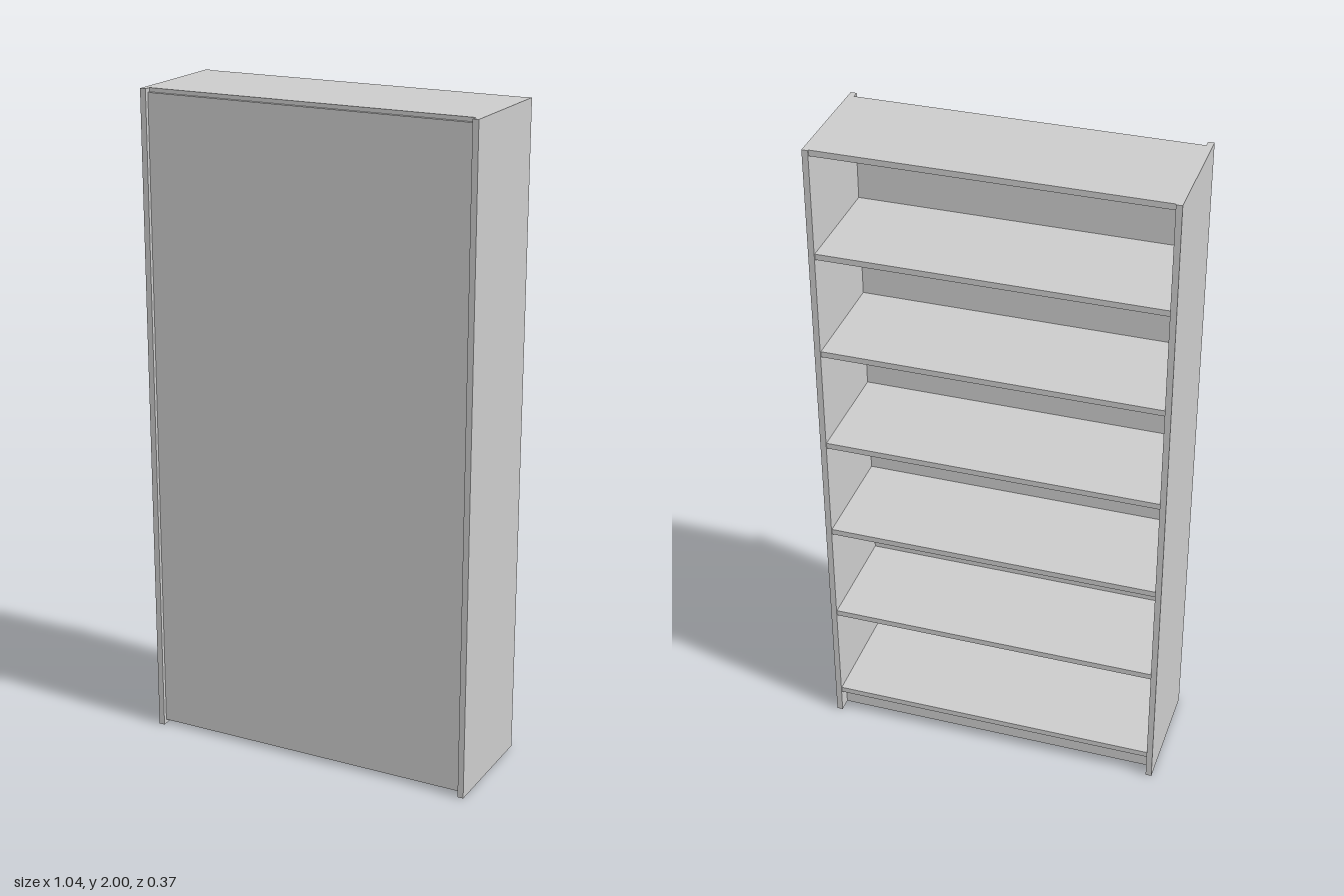
import * as THREE from 'three';

export function createModel() {
  const group = new THREE.Group();
  group.name = 'bookcase';
  const material = new THREE.MeshStandardMaterial({ color: 0xcccccc });

  // A board given by its lower and upper corner
  function board(name, [x0, y0, z0], [x1, y1, z1]) {
    const mesh = new THREE.Mesh(new THREE.BoxGeometry(x1 - x0, y1 - y0, z1 - z0), material);
    mesh.position.set((x0 + x1) / 2, (y0 + y1) / 2, (z0 + z1) / 2);
    mesh.name = name;
    group.add(mesh);
  }

  const outer = 0.521, inner = 0.503, halfDepth = 0.184;
  const thickness = 0.018, shelfBack = -0.18, shelfFront = 0.162;

  // Side walls
  board('leftSide', [inner, 0, -halfDepth], [outer, 2, halfDepth]);
  board('rightSide', [-outer, 0, -halfDepth], [-inner, 2, halfDepth]);

  // Bottom board, five shelves and top board, evenly spaced
  const lowest = 0.09, gaps = 6;
  for (let i = 0; i <= gaps; i++) {
    const y = lowest + (2 - lowest) * i / gaps;
    const name = i === 0 ? 'bottomBoard' : i === gaps ? 'topBoard' : 'shelf' + i;
    board(name, [-inner, y - thickness, shelfBack], [inner, y, shelfFront]);
  }

  // Thin closing panel
  board('panel', [-inner, 0.013, shelfFront], [inner, 1.988, 0.172]);

  // Recessed kick board under the open side
  board('kickBoard', [-inner, 0, -0.142], [inner, lowest - thickness, -0.124]);

  return group;
}
